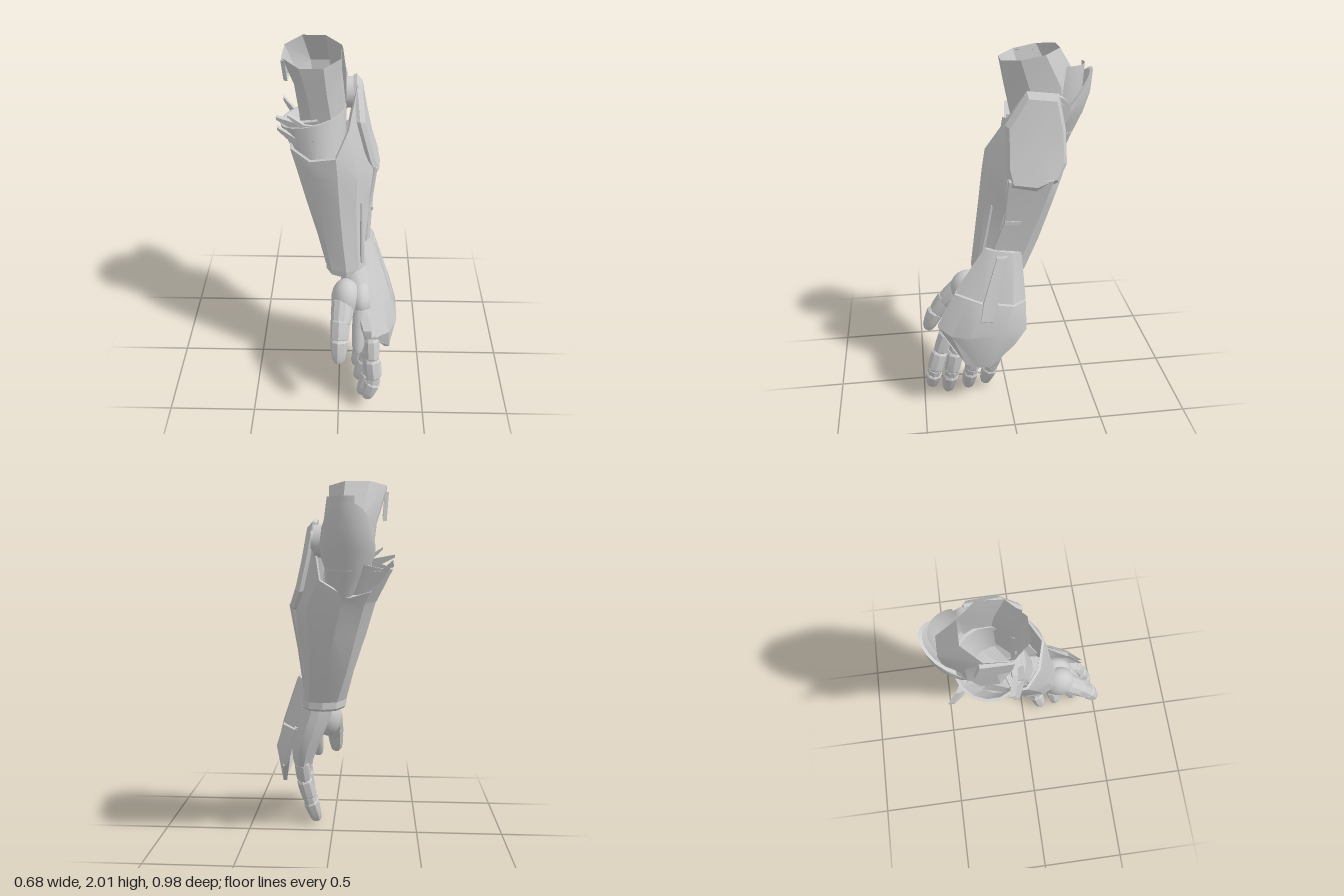
import * as THREE from 'three';
import { toCreasedNormals } from 'three/addons/utils/BufferGeometryUtils.js';

const armour = new THREE.MeshStandardMaterial({ color: 0xcccccc, side: THREE.DoubleSide });
armour.name = 'grey armour';
const V = (p) => new THREE.Vector3(...p);

// Skin between rows of [x, y, z] points; rows may be closed loops and have end caps
function loft(rows, { closed = true, caps = [false, false], crease = 0.45 } = {}) {
  const n = rows[0].length, pos = [];
  const tri = (a, b, c) => pos.push(...a, ...b, ...c);
  for (let r = 0; r < rows.length - 1; r++) {
    for (let i = 0; i < (closed ? n : n - 1); i++) {
      const j = (i + 1) % n, a = rows[r], b = rows[r + 1];
      tri(a[i], a[j], b[j]);
      tri(a[i], b[j], b[i]);
    }
  }
  [rows[0], rows[rows.length - 1]].forEach((row, k) => {
    if (!caps[k]) return;
    const c = centre(row);
    row.forEach((p, i) => {
      const q = row[(i + 1) % n];
      k ? tri(c, p, q) : tri(c, q, p);
    });
  });
  const g = new THREE.BufferGeometry();
  g.setAttribute('position', new THREE.Float32BufferAttribute(pos, 3));
  return toCreasedNormals(g, crease);
}

function centre(row) {
  return [0, 1, 2].map((k) => row.reduce((s, p) => s + p[k], 0) / row.length);
}

// Shrink a ring toward its centre, then shift it
function inset(row, s, d = [0, 0, 0]) {
  const c = centre(row);
  return row.map((p) => p.map((v, k) => c[k] + (v - c[k]) * s + d[k]));
}

const ringAt = (y, xz) => xz.map(([x, z]) => [x, y, z]);

// Bevelled plate raised from an outline
function slab(outline, depth, shrink = 0.94) {
  return loft([inset(outline, 0.97, [-0.02, 0, 0]), outline, inset(outline, shrink, [depth, 0, 0])],
    { caps: [true, true], crease: 0.3 });
}

// Tapered faceted limb piece between two points
function segment(a, b, r0, r1, sides = 8) {
  const A = V(a), B = V(b), d = B.clone().sub(A), h = d.length();
  const profile = [[0, 0], [r0 * 0.8, 0], [r0, h * 0.1], [(r0 + r1) / 2 * 1.04, h * 0.55],
    [r1, h * 0.88], [r1 * 0.7, h], [0, h]];
  const g = new THREE.LatheGeometry(profile.map((p) => new THREE.Vector2(...p)), sides);
  g.applyQuaternion(new THREE.Quaternion().setFromUnitVectors(new THREE.Vector3(0, 1, 0), d.normalize()));
  g.translate(...a);
  return toCreasedNormals(g.toNonIndexed(), 0.5);
}

// Upright oval ring
function oval(cx, y, cz, rx, rz, n = 8, tilt = 0) {
  return Array.from({ length: n }, (_, i) => {
    const t = ((i + 0.5) / n) * Math.PI * 2;
    return [cx + rx * Math.sin(t), y - tilt * Math.cos(t), cz + rz * Math.cos(t)];
  });
}

// Half oval open to the front, with its ends dropped; t runs from inner (-1) to outer (1) side
function arc(y, cx, zBack, zFront, hw, drop = 0, from = -1, to = 1) {
  return Array.from({ length: 11 }, (_, i) => {
    const t = (from + (to - from) * i / 10) * Math.PI / 2;
    return [cx + hw * Math.sin(t), y - drop * (1 - Math.cos(t)), zFront + (zBack - zFront) * Math.cos(t)];
  });
}

export function createModel() {
  const group = new THREE.Group();
  const add = (name, geo) => {
    const m = new THREE.Mesh(geo, armour);
    m.name = name;
    group.add(m);
    return m;
  };

  // Open upper sleeve, leaning back toward the elbow
  add('upperSleeve', loft([
    oval(-0.1, 1.45, -0.2, 0.12, 0.13), oval(-0.1, 1.62, -0.235, 0.135, 0.19),
    oval(-0.12, 1.8, -0.225, 0.135, 0.215, 8, 0.02), oval(-0.145, 1.97, -0.155, 0.162, 0.17, 8, 0.032),
  ], { crease: 0.3 }));
  add('sleeveTab', slab([[-0.285, 1.95, -0.08], [-0.285, 1.95, -0.24], [-0.275, 1.8, -0.27], [-0.275, 1.83, -0.1]], -0.012));

  // Inner collar around the elbow opening
  const collar = oval(-0.15, 1.6, -0.195, 0.185, 0.18, 16, -0.01).map(([x, y, z]) => [x, y + (x + 0.15) * 0.25, z]);
  add('elbowCollar', loft([
    oval(-0.11, 1.38, -0.14, 0.14, 0.17, 16), collar, inset(collar, 0.92), oval(-0.11, 1.42, -0.14, 0.12, 0.15, 16),
  ]));

  // Splayed blades on the inner side of the collar
  [[[-0.345, 1.62, -0.09], [-0.12, 1.6, -0.03], 0.05], [[-0.34, 1.57, -0.07], [-0.14, 1.5, 0.0], 0.05],
    [[-0.28, 1.66, -0.04], [-0.1, 1.58, -0.02], 0.04], [[-0.33, 1.6, -0.38], [-0.2, 1.5, -0.31], 0.06],
  ].forEach(([tip, root, w]) => {
    const mid = tip.map((v, k) => (v + root[k]) / 2);
    mid[1] -= 0.03;
    const bar = ([x, y, z], s) => [[x, y + w * s, z], [x, y - w * s, z], [x, y - w * s, z - 0.03], [x, y + w * s, z - 0.03]];
    add('collarBlade', loft([bar(tip, 0.15), bar(mid, 0.5), bar(root, 0.7)], { caps: [true, true] }));
  });

  // Forearm shell, rising to a peak on the outer side, with a thick rim
  const lip = [[-0.27, 1.48, -0.02], [-0.16, 1.44, 0.06], [-0.02, 1.48, 0.1], [0.045, 1.61, 0.03], [0.09, 1.81, -0.1],
    [0.095, 1.78, -0.27], [0.05, 1.5, -0.33], [-0.1, 1.41, -0.345], [-0.22, 1.44, -0.3], [-0.28, 1.48, -0.15]];
  const upper = ringAt(1.36, [[-0.235, 0], [-0.14, 0.08], [-0.01, 0.12], [0.095, 0.09], [0.18, 0.005],
    [0.205, -0.22], [0.12, -0.305], [-0.06, -0.325], [-0.18, -0.275], [-0.24, -0.12]]);
  const middle = ringAt(1.2, [[-0.19, 0.03], [-0.115, 0.1], [0, 0.14], [0.09, 0.11], [0.165, 0.01],
    [0.18, -0.19], [0.115, -0.255], [-0.02, -0.28], [-0.14, -0.235], [-0.195, -0.1]]);
  const lower = ringAt(0.98, [[-0.125, 0.07], [-0.08, 0.135], [0.02, 0.17], [0.1, 0.14], [0.15, 0.06],
    [0.15, -0.12], [0.115, -0.18], [0.015, -0.195], [-0.085, -0.16], [-0.125, -0.05]]);
  const cuff = ringAt(0.8, [[-0.08, 0.1], [-0.045, 0.165], [0.04, 0.195], [0.11, 0.17], [0.165, 0.1],
    [0.175, -0.04], [0.13, -0.1], [0.05, -0.115], [-0.03, -0.09], [-0.08, 0]]);
  add('forearmShell', loft([inset(upper, 0.85), inset(lip, 0.94), lip, upper, middle, lower, cuff, inset(cuff, 0.9)]));
  add('wristCuff', loft([inset(cuff, 0.96, [0, 0.02, 0]), inset(cuff, 0.97, [0, -0.04, 0]),
    inset(cuff, 0.86, [0, -0.055, 0])], { caps: [false, true] }));

  // Outer forearm fin and the panel beneath it
  add('outerFin', slab([[0.105, 1.65, 0.005], [0.085, 1.82, -0.11], [0.085, 1.8, -0.28], [0.115, 1.62, -0.315],
    [0.155, 1.44, -0.32], [0.19, 1.35, -0.27], [0.205, 1.31, -0.15], [0.195, 1.33, -0.01], [0.165, 1.42, 0.01]], 0.024, 0.88));
  add('outerSpine', slab([[0.192, 1.38, 0], [0.205, 1.38, -0.25], [0.17, 1.12, -0.17],
    [0.15, 0.9, -0.09], [0.155, 0.9, 0.1], [0.16, 1.12, 0.02]], 0.012));
  add('ventSlot', new THREE.BoxGeometry(0.012, 0.02, 0.09).translate(0.18, 1.12, -0.03));
  add('frontRib', segment([0.12, 1.2, 0.08], [0.13, 0.84, 0.15], 0.008, 0.012, 5));

  // Curved elbow guard: peaked at the back, narrowing to a point below
  const peak = arc(1.89, -0.095, -0.495, -0.35, 0.135, 0.18);
  add('elbowGuard', loft([arc(1.39, -0.08, -0.335, -0.3, 0.03), arc(1.52, -0.09, -0.385, -0.28, 0.1),
    arc(1.66, -0.095, -0.45, -0.29, 0.14, 0.04), arc(1.77, -0.095, -0.485, -0.32, 0.145, 0.1), peak,
    inset(peak, 0.87, [0, 0, 0.008]), arc(1.64, -0.095, -0.42, -0.29, 0.125, 0.04)], { closed: false, crease: 0.6 }));
  add('rearSleevePlate', loft([arc(1.55, -0.09, -0.4, -0.29, 0.11, 0, -0.2, 1), arc(1.78, -0.09, -0.44, -0.31, 0.12, 0, -0.2, 1),
    arc(1.92, -0.1, -0.45, -0.33, 0.11, 0, -0.2, 1)], { closed: false }));

  // Elbow hinge
  const disc = (r, w, x) => new THREE.CylinderGeometry(r, r, w, 20).rotateZ(Math.PI / 2).translate(x, 1.7, -0.26);
  add('hingeDisc', disc(0.085, 0.05, 0.055));
  add('hingeCap', disc(0.06, 0.03, 0.08));

  // Palm
  add('palm', loft([
    oval(0.08, 0.8, 0.05, 0.08, 0.12, 12), oval(0.11, 0.68, 0.08, 0.1, 0.16, 12),
    oval(0.165, 0.52, 0.15, 0.09, 0.23, 12), oval(0.185, 0.4, 0.18, 0.065, 0.2, 12), oval(0.185, 0.34, 0.18, 0.045, 0.16, 12),
  ], { caps: [true, true], crease: 0.7 }));

  // Back-of-hand guard, two overlapping plates with a narrow seam
  const shell = (rows) => loft([...rows, ...rows.slice().reverse().map((r) => r.map(([x, y, z]) => [x - 0.022, y, z])), rows[0]],
    { closed: false, crease: 0.6 });
  add('upperHandGuard', shell([
    [[0.16, 0.96, 0.12], [0.185, 0.955, 0.07], [0.19, 0.94, -0.03], [0.165, 0.93, -0.08]],
    [[0.19, 0.71, 0.295], [0.275, 0.69, 0.16], [0.28, 0.66, -0.02], [0.21, 0.65, -0.1]],
  ]));
  add('lowerHandGuard', shell([
    [[0.195, 0.7, 0.3], [0.24, 0.69, 0.23], [0.28, 0.68, 0.16], [0.285, 0.65, -0.02], [0.215, 0.64, -0.1]],
    [[0.21, 0.5, 0.405], [0.29, 0.48, 0.33], [0.335, 0.49, 0.23], [0.335, 0.5, 0.05], [0.26, 0.48, -0.1]],
    [[0.265, 0.38, 0.325], [0.3, 0.29, 0.255], [0.31, 0.27, 0.18], [0.305, 0.265, 0.11], [0.29, 0.4, -0.03]],
  ]));
  add('guardStrip', slab([[0.19, 0.93, 0.06], [0.19, 0.93, -0.0], [0.283, 0.66, 0.07],
    [0.308, 0.57, 0.1], [0.308, 0.57, 0.17], [0.278, 0.68, 0.15]], 0.009));

  // Thumb
  [['thumbBase', [0.085, 0.12, 0.1], [0.04, 0.64, 0.22]], ['thumbWeb', [0.07, 0.11, 0.11], [0.125, 0.62, 0.2]]]
    .forEach(([name, size, at]) => add(name, new THREE.SphereGeometry(1, 20, 14).scale(...size).translate(...at)));
  add('thumbKnuckle', segment([0.025, 0.65, 0.25], [0.01, 0.54, 0.355], 0.068, 0.058, 12));
  add('thumbMiddle', segment([0.01, 0.58, 0.335], [0.005, 0.47, 0.405], 0.056, 0.051));
  add('thumbTip', segment([0.005, 0.49, 0.405], [0, 0.36, 0.462], 0.051, 0.036));
  add('palmPeg', segment([0.13, 0.62, 0.26], [0.11, 0.36, 0.37], 0.048, 0.036, 14));

  // Four fingers curling inward: knuckle, bend and tip positions
  [[[0.19, 0.37, 0.385], [0.21, 0.2, 0.435], [0.165, 0.07, 0.455]],
    [[0.19, 0.36, 0.3], [0.19, 0.17, 0.335], [0.135, 0.0, 0.36]],
    [[0.185, 0.34, 0.185], [0.165, 0.16, 0.215], [0.115, 0.0, 0.235]],
    [[0.185, 0.33, 0.06], [0.145, 0.16, 0.095], [0.1, 0.01, 0.13]],
  ].forEach(([a, b, c]) => {
    const mid = (p, q, t) => p.map((v, k) => v + (q[k] - v) * t);
    add('fingerRoot', segment([a[0], a[1] + 0.08, a[2] - 0.03], mid(a, b, 0.3), 0.044, 0.042));
    add('fingerMiddle', segment(mid(a, b, 0.25), mid(a, b, 0.98), 0.048, 0.046));
    add('fingerJoint', segment(mid(a, b, 0.9), mid(b, c, 0.35), 0.04, 0.04));
    add('fingerTip', segment(mid(b, c, 0.12), c, 0.048, 0.034));
  });

  return group;
}
